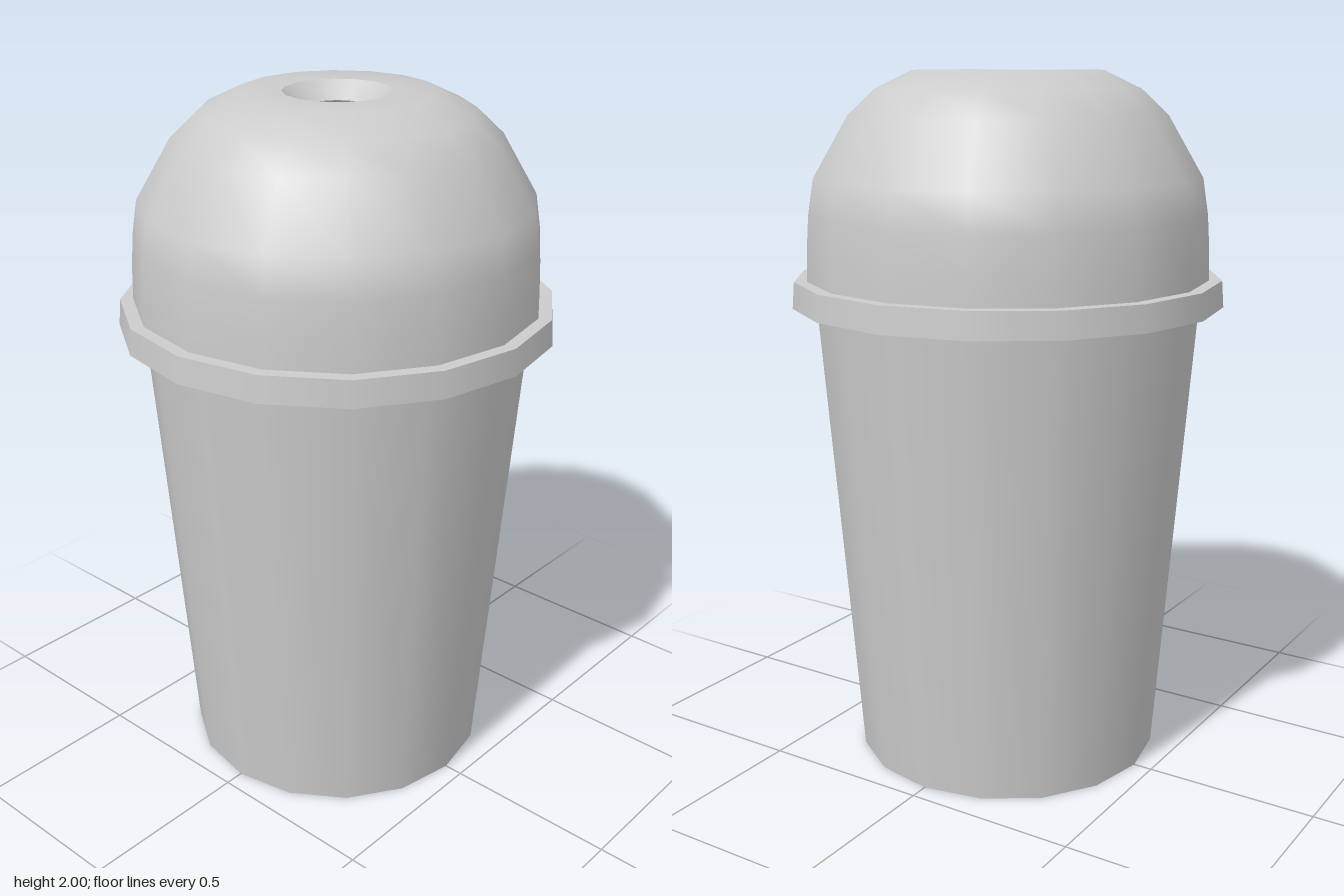
import * as THREE from 'three';

const SIDES = 16;
const material = new THREE.MeshStandardMaterial({ color: 0xcccccc, side: THREE.DoubleSide });

// Each lathe is one smooth band; separate bands keep the edges between them sharp.
function band(name, profile) {
  const points = profile.map(([r, y]) => new THREE.Vector2(r, y));
  const mesh = new THREE.Mesh(new THREE.LatheGeometry(points, SIDES), material);
  mesh.name = name;
  return mesh;
}

export function createModel() {
  const model = new THREE.Group();
  model.name = 'lidded cup';

  // Tapered cup with a flat floor
  const cup = new THREE.Group();
  cup.name = 'cup';
  cup.add(
    band('cupFloor', [[0, 0], [0.445, 0]]),
    band('cupWall', [[0.445, 0], [0.555, 1.42]])
  );

  // Domed lid with a skirt that overhangs the cup
  const lid = new THREE.Group();
  lid.name = 'lid';
  lid.add(
    band('skirtLip', [[0.605, 1.35], [0.618, 1.35]]),
    band('skirtOuter', [[0.618, 1.35], [0.612, 1.425]]),
    band('skirtInner', [[0.6, 1.415], [0.605, 1.35]]),
    band('skirtLedge', [[0.612, 1.425], [0.575, 1.425]]),
    band('dome', [
      [0.575, 1.425], [0.573, 1.51], [0.566, 1.61], [0.55, 1.71],
      [0.45, 1.88], [0.375, 1.95], [0.27, 2], [0.15, 2]
    ]),
    // Funnel-shaped straw hole, open in the middle
    band('strawHole', [[0.15, 2], [0.095, 1.953]])
  );

  model.add(cup, lid);
  return model;
}
